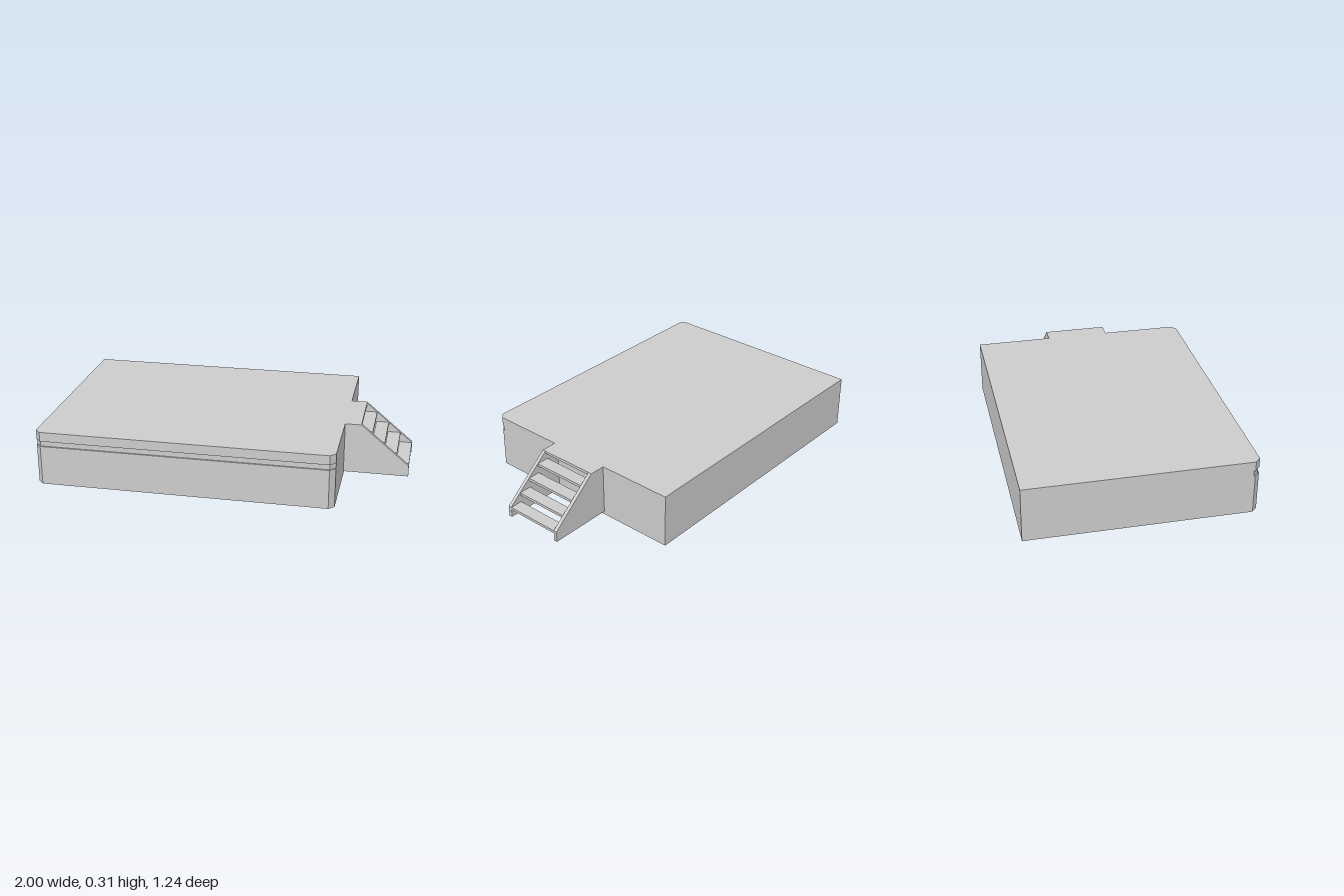
import * as THREE from 'three';

const material = new THREE.MeshStandardMaterial({ color: 0xcccccc, flatShading: true });

function addMesh(parent, name, geometry, x = 0, y = 0, z = 0) {
  const mesh = new THREE.Mesh(geometry, material);
  mesh.name = name;
  mesh.position.set(x, y, z);
  parent.add(mesh);
  return mesh;
}

// Horizontal slab with two chamfered front corners, from height y0 to y1
function slab(y0, y1, inset) {
  const left = -1, right = 0.64, back = -0.62, front = 0.62, c = 0.03;
  const f = front - inset, s = front - c - inset;
  const outline = [
    [left, back], [right, back], [right, s], [right - c, f], [left + c, f], [left, s],
  ].map(([x, z]) => new THREE.Vector2(x, -z));
  return new THREE.ExtrudeGeometry(new THREE.Shape(outline), { depth: y1 - y0, bevelEnabled: false })
    .rotateX(-Math.PI / 2)
    .translate(0, y0, 0);
}

export function createModel() {
  const model = new THREE.Group();
  model.name = 'stagePlatform';
  const top = 0.305;

  // Platform: lower body, recessed groove band and top band
  const platform = new THREE.Group();
  platform.name = 'platform';
  addMesh(platform, 'lowerBody', slab(0, 0.222, 0));
  addMesh(platform, 'grooveBand', slab(0.222, 0.252, 0.008));
  addMesh(platform, 'topBand', slab(0.252, top, 0));
  model.add(platform);

  // Side stairs with open risers
  const stairs = new THREE.Group();
  stairs.name = 'stairs';
  const zBack = -0.19, zFront = 0.17, thick = 0.02;
  const sideShape = new THREE.Shape([
    [0.64, 0.018], [1, 0.018], [1, 0.08], [0.73, top], [0.64, top],
  ].map(([x, y]) => new THREE.Vector2(x, y)));
  for (const z of [zBack, zFront - thick]) {
    addMesh(stairs, 'sidePanel',
      new THREE.ExtrudeGeometry(sideShape, { depth: thick, bevelEnabled: false }), 0, 0, z);
  }

  // Landing and four treads between the side panels
  const width = zFront - zBack - 2 * thick, mid = (zFront + zBack) / 2, board = 0.016;
  addMesh(stairs, 'landing', new THREE.BoxGeometry(0.09, board, width), 0.685, top - board / 2, mid);
  for (let i = 0; i < 4; i++) {
    const y = 0.254 - i * 0.0583;
    addMesh(stairs, 'tread', new THREE.BoxGeometry(0.072, board, width),
      0.755 + i * 0.0695, y - board / 2, mid);
  }
  model.add(stairs);
  return model;
}
